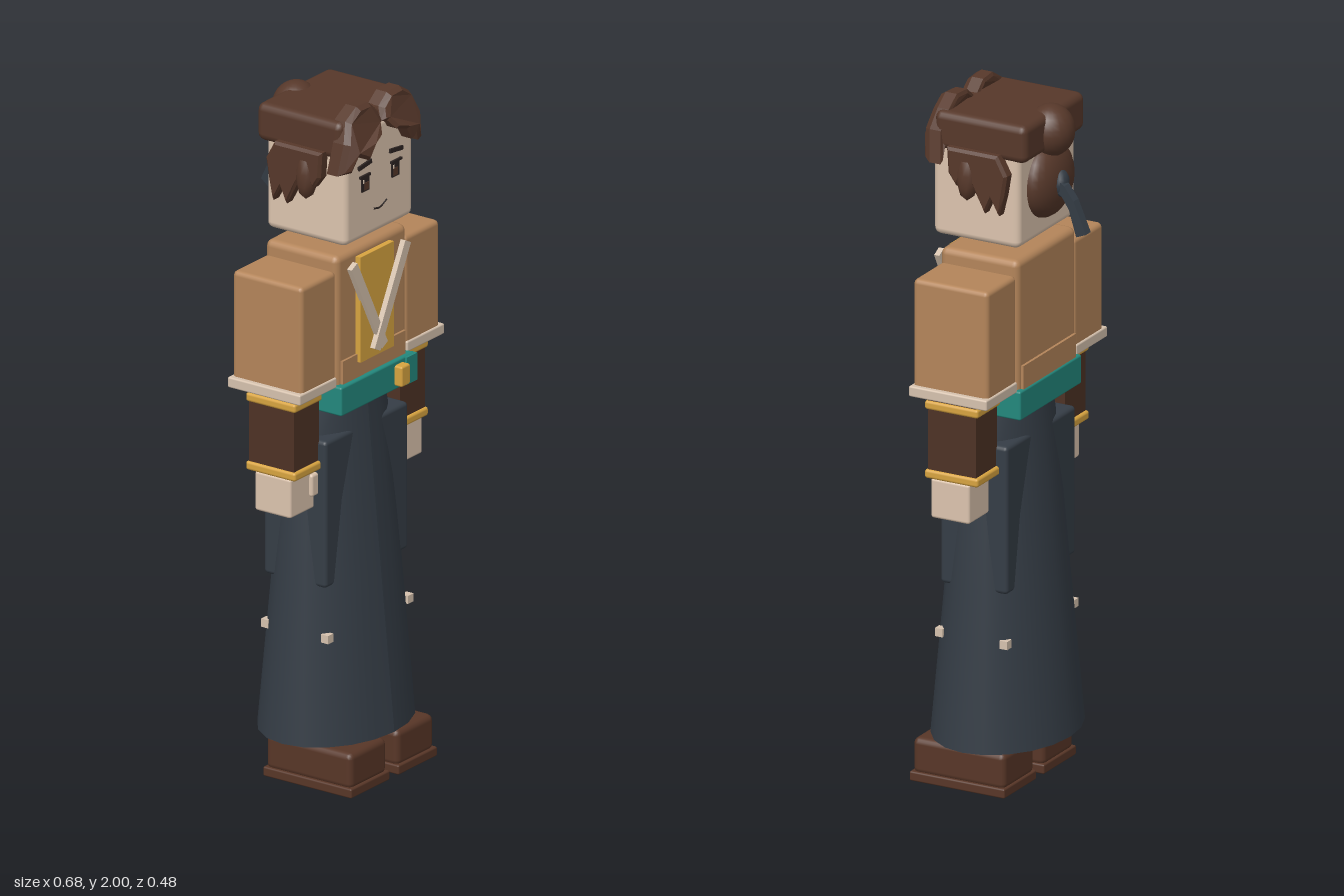
import * as THREE from 'three';
import { RoundedBoxGeometry } from 'three/addons/geometries/RoundedBoxGeometry.js';

const material = (name, color) => {
  const m = new THREE.MeshStandardMaterial({ color });
  m.name = name;
  return m;
};

export function createModel() {
  const skin = material('skin', 0xdcc4ae);
  const cream = material('cream trim', 0xd6c2ae);
  const tan = material('tan cloth', 0xb4855a);
  const gold = material('gold', 0xd8a440);
  const teal = material('teal', 0x23887d);
  const slate = material('slate cloth', 0x353d46);
  const leather = material('dark leather', 0x4e3225);
  const shoeBrown = material('shoe brown', 0x583627);
  const hairBrown = material('hair brown', 0x57382a);
  const ink = material('ink', 0x2c2422);

  const model = new THREE.Group();
  model.name = 'figure';

  const add = (parent, name, geometry, mat) => {
    const mesh = new THREE.Mesh(geometry, mat);
    mesh.name = name;
    parent.add(mesh);
    return mesh;
  };

  // Box given by its extents on each axis, rounded when r > 0
  const box = (parent, name, mat, [x0, x1], [y0, y1], [z0, z1], r = 0) => {
    const size = [x1 - x0, y1 - y0, z1 - z0];
    const g = r ? new RoundedBoxGeometry(...size, 2, r) : new THREE.BoxGeometry(...size);
    const mesh = add(parent, name, g, mat);
    mesh.position.set((x0 + x1) / 2, (y0 + y1) / 2, (z0 + z1) / 2);
    return mesh;
  };

  const extrude = (points, depth, bevel) => new THREE.ExtrudeGeometry(
    new THREE.Shape(points.map(([x, y]) => new THREE.Vector2(x, y))),
    { depth, bevelEnabled: bevel > 0, bevelSize: bevel, bevelThickness: bevel, bevelOffset: -bevel, bevelSegments: 1 });

  // Outline in (z, y), extruded from x = x0 towards x = x0 + width
  const sideExtrude = (points, x0, width, bevel = 0) =>
    extrude(points, width, bevel).rotateY(-Math.PI / 2).translate(x0 + width, 0, 0);

  // Skirt: a cone whose depth and width flare at different rates
  const rings = [[1.12, 0.168, 0.105], [1.03, 0.188, 0.112], [0.6, 0.222, 0.152], [0.135, 0.255, 0.197]];
  const skirtGeometry = new THREE.CylinderGeometry(1, 1, 1, 20, 3, true);
  const sp = skirtGeometry.attributes.position;
  for (let i = 0; i < sp.count; i++) {
    const [y, rx, rz] = rings[Math.round((0.5 - sp.getY(i)) * 3)];
    sp.setXYZ(i, sp.getX(i) * rx, y, sp.getZ(i) * rz + 0.043);
  }
  skirtGeometry.computeVertexNormals();
  add(model, 'skirt', skirtGeometry, slate);
  const lining = add(model, 'skirtUnderside', new THREE.CircleGeometry(1, 20).rotateX(Math.PI / 2), slate);
  lining.scale.set(0.25, 1, 0.192);
  lining.position.set(0, 0.15, 0.043);

  // Torso, tunic hem and neck
  box(model, 'torso', tan, [-0.165, 0.165], [1.17, 1.567], [-0.082, 0.165], 0.02);
  box(model, 'tunicHem', tan, [-0.147, 0.147], [1.18, 1.258], [-0.09, 0.172]);
  box(model, 'neck', skin, [-0.055, 0.055], [1.55, 1.62], [-0.01, 0.1]);

  // Chest panel with crossed straps
  box(model, 'chestPanel', gold, [-0.078, 0.078], [1.235, 1.545], [0.16, 0.182]);
  for (const s of [-1, 1]) {
    const strap = box(model, 'collarStrap', cream, [-0.015, 0.015], [-0.155, 0.155], [-0.008, 0.008]);
    strap.position.set(s * 0.05, 1.397, 0.188 + s * 0.003);
    strap.rotation.z = -s * 0.48;
  }

  // Belt and buckle
  box(model, 'belt', teal, [-0.172, 0.172], [1.105, 1.19], [-0.094, 0.185], 0.006);
  box(model, 'beltFlap', teal, [0.125, 0.174], [1.108, 1.188], [0.17, 0.192]);
  box(model, 'buckle', gold, [0.077, 0.118], [1.118, 1.178], [0.18, 0.21], 0.006);

  // Limbs, built on the left and mirrored to the right
  for (const s of [1, -1]) {
    const arm = new THREE.Group();
    arm.name = s > 0 ? 'leftArm' : 'rightArm';
    box(arm, 'sleeve', tan, [0.16, 0.324], [1.2, 1.526], [-0.076, 0.16], 0.014);
    box(arm, 'sleeveCuff', cream, [0.165, 0.339], [1.185, 1.216], [-0.081, 0.165], 0.005);
    box(arm, 'bracer', leather, [0.19, 0.307], [0.945, 1.19], [-0.03, 0.122]);
    for (const y of [0.944, 1.146])
      box(arm, 'bracerBand', gold, [0.183, 0.314], [y, y + 0.026], [-0.039, 0.13], 0.008);
    box(arm, 'hand', skin, [0.196, 0.31], [0.83, 0.946], [-0.01, 0.112], 0.008);
    box(arm, 'thumb', skin, [0.188, 0.222], [0.868, 0.934], [0.07, 0.122], 0.008);

    const leg = new THREE.Group();
    leg.name = s > 0 ? 'leftLeg' : 'rightLeg';
    box(leg, 'thigh', slate, [0.01, 0.194], [0.595, 1.028], [-0.064, 0.148], 0.012);
    for (const z of [-0.056, 0.148])
      box(leg, 'kneeTrim', cream, [0.175, 0.2], [0.438, 0.462], [z - 0.012, z + 0.012]);
    box(leg, 'ankle', shoeBrown, [0.035, 0.185], [0.1, 0.17], [-0.045, 0.13]);
    box(leg, 'shoe', shoeBrown, [0.024, 0.196], [0.02, 0.126], [-0.056, 0.234], 0.018);
    box(leg, 'sole', shoeBrown, [0.02, 0.202], [0, 0.028], [-0.06, 0.24], 0.005);

    for (const limb of [arm, leg]) {
      limb.scale.x = s;
      model.add(limb);
    }
  }

  // Head with painted face
  const head = new THREE.Group();
  head.name = 'head';
  model.add(head);
  box(head, 'skull', skin, [-0.16, 0.16], [1.6, 1.93], [-0.082, 0.19], 0.02);
  const mouth = new THREE.CatmullRomCurve3([[-0.03, 1.677], [0, 1.672], [0.032, 1.685]]
    .map(([x, y]) => new THREE.Vector3(x, y, 0.19)));
  add(head, 'mouth', new THREE.TubeGeometry(mouth, 8, 0.003, 5), ink);
  for (const s of [1, -1]) {
    box(head, 'eye', ink, [s * 0.07 - 0.017, s * 0.07 + 0.017], [1.742, 1.785], [0.188, 0.194]);
    box(head, 'iris', hairBrown, [s * 0.068 - 0.009, s * 0.068 + 0.009], [1.746, 1.768], [0.19, 0.196]);
    box(head, 'eyeGlint', cream, [s * 0.07 - 0.014, s * 0.07 - 0.008], [1.768, 1.778], [0.19, 0.196]);
    box(head, 'eyelash', ink, [s * 0.073 - 0.024, s * 0.073 + 0.024], [1.784, 1.791], [0.188, 0.197]);
    const brow = box(head, 'eyebrow', ink, [-0.03, 0.03], [-0.006, 0.006], [0.188, 0.196]);
    brow.position.set(s * 0.073, 1.82, 0.192);
    brow.rotation.z = -s * 0.12;
  }

  // Hair cap, bun and gathered back
  const hair = new THREE.Group();
  hair.name = 'hair';
  model.add(hair);
  box(hair, 'hairCap', hairBrown, [-0.17, 0.17], [1.855, 1.966], [-0.108, 0.182], 0.022);
  const bun = add(hair, 'bun', new THREE.SphereGeometry(1, 20, 14), hairBrown);
  bun.scale.set(0.07, 0.075, 0.068);
  bun.position.set(0, 1.905, -0.093);
  const back = add(hair, 'gatheredBack', new THREE.SphereGeometry(1, 24, 14), hairBrown);
  back.scale.set(0.115, 0.11, 0.06);
  back.position.set(0, 1.76, -0.08);

  // Swept fringe: outline bent forward in the middle of each tuft
  const fringe = [[0, 1.925], [0.008, 1.965], [0.045, 1.995], [0.1, 1.998], [0.148, 1.968], [0.172, 1.91],
    [0.19, 1.82], [0.155, 1.825], [0.135, 1.868], [0.1, 1.85], [0.075, 1.888], [0.035, 1.9], [0.018, 1.925]];
  const fringeGeometry = extrude(fringe, 0.035, 0.01);
  const fp = fringeGeometry.attributes.position;
  for (let i = 0; i < fp.count; i++) {
    const x = fp.getX(i), y = fp.getY(i);
    fp.setZ(i, fp.getZ(i) + 0.163 + 0.03 * (1 - ((x - 0.08) / 0.09) ** 2) - 0.45 * Math.max(0, y - 1.9));
  }
  fringeGeometry.computeVertexNormals();
  // Side lock with ragged lower prongs, in (z, y)
  const lock = [[0.13, 1.875], [0.125, 1.8], [0.1, 1.765], [0.085, 1.79], [0.05, 1.775], [0.01, 1.7], [-0.01, 1.745],
    [-0.035, 1.7], [-0.05, 1.76], [-0.06, 1.82], [-0.03, 1.875]].reverse();
  for (const s of [1, -1]) {
    add(hair, 'fringeTuft', fringeGeometry, hairBrown).scale.x = s;
    add(hair, 'sideLock', sideExtrude(lock, 0.155, 0.03, 0.008), hairBrown).scale.x = s;
    const temple = add(hair, 'templeCurl', new THREE.IcosahedronGeometry(1, 1), hairBrown);
    temple.scale.set(0.032, 0.075, 0.033);
    temple.position.set(s * 0.172, 1.8, 0.07);
    temple.rotation.z = s * 0.1;
  }

  // Tie knot and trailing ribbon
  const knot = add(hair, 'tieKnot', new THREE.IcosahedronGeometry(1, 1), slate);
  knot.scale.set(0.028, 0.04, 0.02);
  knot.position.set(0.015, 1.76, -0.137);
  const ribbon = sideExtrude([[-0.13, 1.775], [-0.16, 1.765], [-0.195, 1.73], [-0.242, 1.645],
    [-0.205, 1.628], [-0.178, 1.7], [-0.15, 1.732], [-0.13, 1.74]], 0.01, 0.028);
  const rp = ribbon.attributes.position;
  for (let i = 0; i < rp.count; i++) rp.setX(i, rp.getX(i) - (rp.getZ(i) + 0.14) * 0.3);
  ribbon.computeVertexNormals();
  add(hair, 'ribbon', ribbon, slate);

  return model;
}
